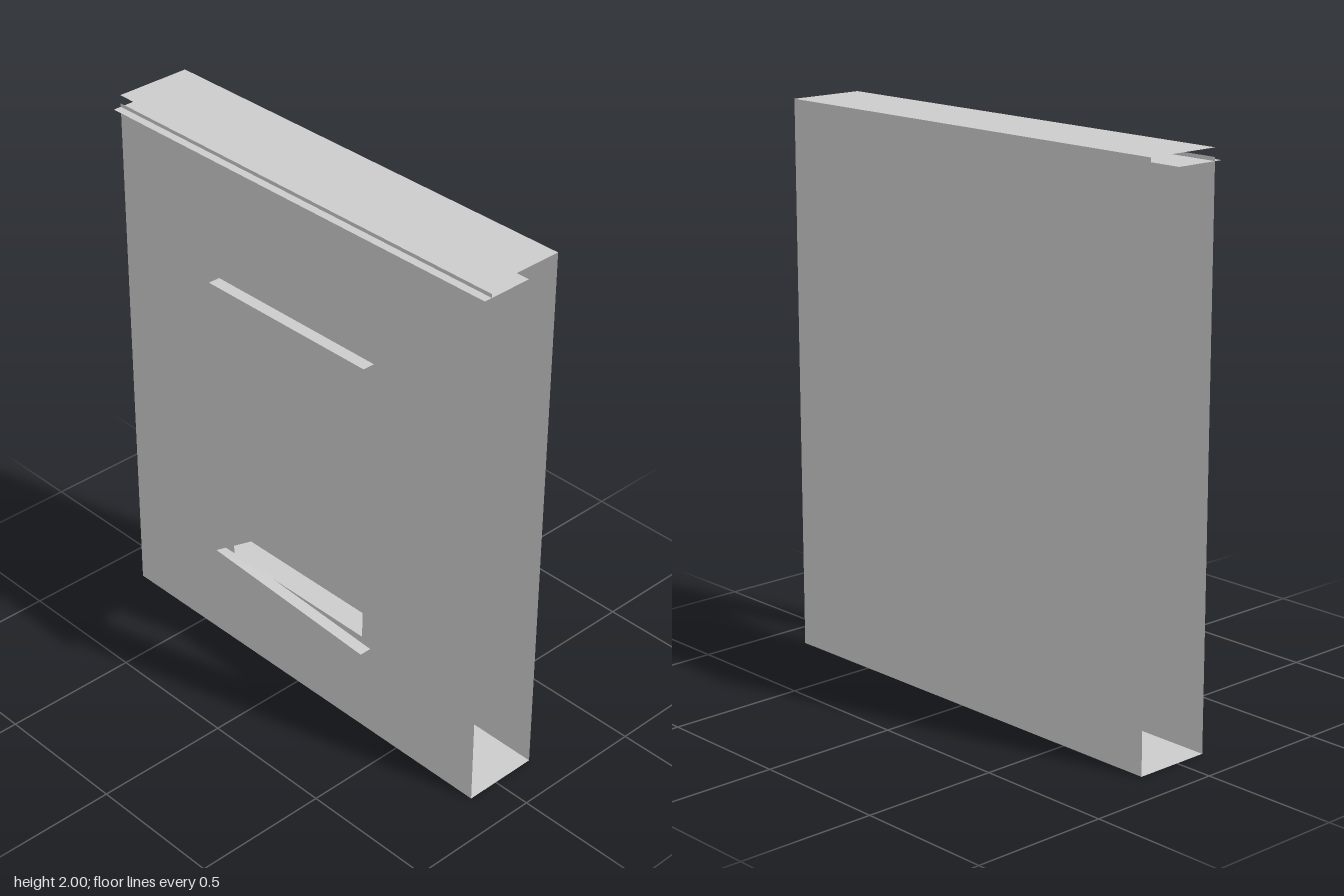
import * as THREE from 'three';

const material = new THREE.MeshStandardMaterial({ color: 0xcccccc, side: THREE.DoubleSide, flatShading: true });

const RIGHT_X = 0.165, WALL_X = -0.12, HALF_Z = 0.858;

// Flat horizontal sheet between x0..x1 and z0..z1 at height y
function sheet(name, x0, x1, z0, z1, y) {
  const geometry = new THREE.PlaneGeometry(x1 - x0, z1 - z0).rotateX(-Math.PI / 2);
  const mesh = new THREE.Mesh(geometry, material);
  mesh.name = name;
  mesh.position.set((x0 + x1) / 2, y, (z0 + z1) / 2);
  return mesh;
}

// Upright sheet facing -x, with an optional rectangular hole [z0, z1, y0, y1]
function wall(name, x, z0, z1, y0, y1, hole) {
  const rect = (Type, a, b, c, d) => new Type([[a, c], [b, c], [b, d], [a, d]].map(p => new THREE.Vector2(...p)));
  const shape = rect(THREE.Shape, z0, z1, y0, y1);
  if (hole) shape.holes.push(rect(THREE.Path, ...hole));
  const mesh = new THREE.Mesh(new THREE.ShapeGeometry(shape).rotateY(-Math.PI / 2), material);
  mesh.name = name;
  mesh.position.x = x;
  return mesh;
}

// Wedge sill: a triangular section that flattens to an edge at its far end
function windowSill() {
  const tip = 0.355, length = 0.74;
  const section = new THREE.Shape([[-0.165, 0.315], [0, tip], [-0.165, 0.4]].map(p => new THREE.Vector2(...p)));
  const geometry = new THREE.ExtrudeGeometry(section, { depth: length, bevelEnabled: false });
  const pos = geometry.attributes.position;
  for (let i = 0; i < pos.count; i++) {
    if (pos.getZ(i) > length / 2) pos.setY(i, tip);
  }
  geometry.computeVertexNormals();
  const mesh = new THREE.Mesh(geometry, material);
  mesh.name = 'windowSill';
  mesh.position.z = -0.375;
  return mesh;
}

export function createModel() {
  const model = new THREE.Group();
  model.name = 'wallSection';

  // Open-ended shell
  model.add(
    sheet('floor', WALL_X, RIGHT_X, -HALF_Z, HALF_Z, 0),
    sheet('roof', WALL_X, RIGHT_X, -HALF_Z, HALF_Z, 2),
    sheet('eavesLedge', -0.15, 0.04, -HALF_Z, HALF_Z, 1.957),
    wall('plainWall', RIGHT_X, -HALF_Z, HALF_Z, 0, 2),
    wall('windowWall', WALL_X, -HALF_Z, HALF_Z, 0, 1.97, [-0.33, 0.325, 0.385, 1.5])
  );

  // Window with recessed pane, ledge, lintel and sill
  const pane = wall('windowPane', -0.03, -0.33, 0.29, 0.41, 1.5);
  model.add(
    pane,
    sheet('windowLedge', WALL_X, -0.03, -0.33, 0.325, 0.385),
    sheet('windowLintel', -0.165, -0.03, -0.375, 0.365, 1.5),
    windowSill()
  );
  return model;
}
